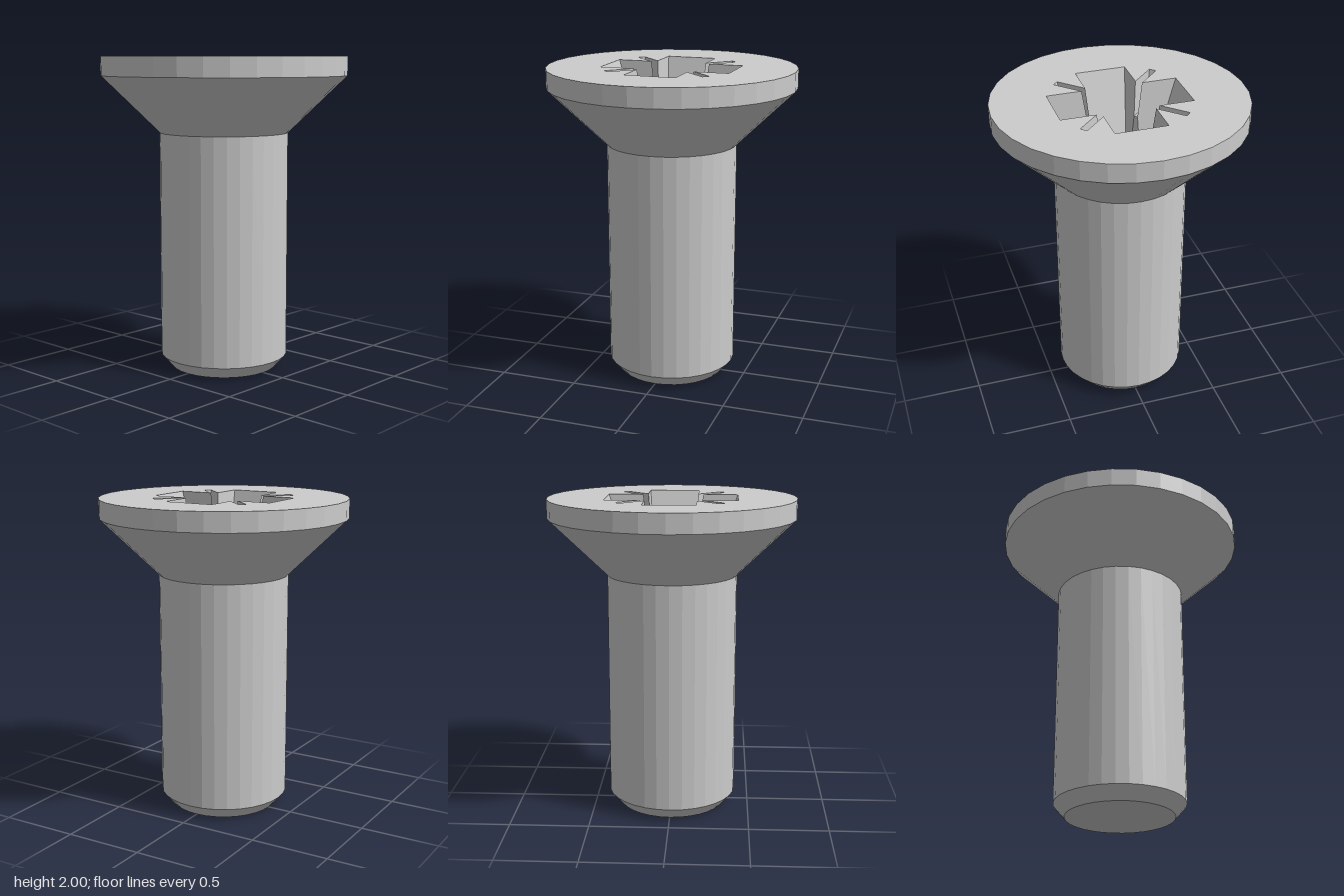
import * as THREE from 'three';

const SIDES = 32;
const TOP = 2, SLOT_Y = 1.78, FLOOR_Y = 1.5, TIP_Y = 1.4;
const BORE = 0.21;

export function createModel() {
  const group = new THREE.Group();
  const material = new THREE.MeshStandardMaterial({ color: 0xcccccc, flatShading: true });

  const add = (name, geometry, parent = group) => {
    const mesh = new THREE.Mesh(geometry, material);
    mesh.name = name;
    parent.add(mesh);
    return mesh;
  };
  const lathe = (points) =>
    new THREE.LatheGeometry(points.map(([x, y]) => new THREE.Vector2(x, y)), SIDES);
  const flat = (shape, y) =>
    new THREE.ShapeGeometry(shape).rotateX(-Math.PI / 2).translate(0, y, 0);
  const toShape = (points) => new THREE.Shape(points.map(([x, y]) => new THREE.Vector2(x, y)));
  const arc = (r, from, to, n) => Array.from({ length: n + 1 }, (_, i) => {
    const a = from + (to - from) * i / n;
    return [r * Math.cos(a), r * Math.sin(a)];
  });
  // quarter turns of a point in the plane
  const turn = ([x, z], q) => {
    for (let i = 0; i < q; i++) [x, z] = [-z, x];
    return [x, z];
  };

  // Shank with chamfered end, and countersunk head
  add('shank', lathe([[0, 0], [0.34, 0], [0.41, 0.08], [0.41, 1.52]]));
  add('countersunkHead', lathe([[0.41, 1.52], [0.78, 1.88], [0.78, TOP]]));

  // Head top with the cross and four fine diagonal slots cut out
  const quarter = [[0.41, -0.16], [0.41, 0.16], [0.192, 0.16], [0.33, 0.298], [0.298, 0.33], [0.16, 0.192]];
  const outline = [0, 1, 2, 3].flatMap((q) => quarter.map((p) => turn(p, q)));
  const face = toShape(arc(0.78, 0, Math.PI * 2, SIDES).slice(0, SIDES));
  face.holes.push(toShape(outline));
  add('headTop', flat(face, TOP));

  // Recess walls: one quarter as flat polygons, each turned to face the opening
  const opening = new THREE.Vector3(0, TOP, 0);
  const polygons = (list) => {
    const position = [];
    for (const corners of list) {
      let pts = corners.map((c) => new THREE.Vector3(...c));
      const normal = pts[1].clone().sub(pts[0]).cross(pts[2].clone().sub(pts[0]));
      if (normal.dot(opening.clone().sub(pts[0])) < 0) pts = pts.reverse();
      for (let i = 1; i < pts.length - 1; i++) {
        for (const p of [pts[0], pts[i], pts[i + 1]]) position.push(p.x, p.y, p.z);
      }
    }
    const geometry = new THREE.BufferGeometry();
    geometry.setAttribute('position', new THREE.Float32BufferAttribute(position, 3));
    geometry.computeVertexNormals();
    return geometry;
  };
  const flipZ = (poly) => poly.map(([x, y, z]) => [x, y, -z]);
  const swapXZ = (poly) => poly.map(([x, y, z]) => [z, y, x]);

  const armEnd = [[0.41, TOP, -0.16], [0.41, TOP, 0.16], [0.25, FLOOR_Y, 0.12], [0.25, FLOOR_Y, -0.12]];
  const armSide = [[0.41, TOP, 0.16], [0.25, FLOOR_Y, 0.12], [0.172, FLOOR_Y, 0.12], [0.159, SLOT_Y, 0.142], [0.192, TOP, 0.16]];
  const slotSide = [[0.192, TOP, 0.16], [0.33, TOP, 0.298], [0.281, SLOT_Y, 0.264], [0.159, SLOT_Y, 0.142]];
  const slotEnd = [[0.33, TOP, 0.298], [0.298, TOP, 0.33], [0.264, SLOT_Y, 0.281], [0.281, SLOT_Y, 0.264]];
  const slotFloor = [[0.159, SLOT_Y, 0.142], [0.281, SLOT_Y, 0.264], [0.264, SLOT_Y, 0.281], [0.142, SLOT_Y, 0.159]];
  const boreCorner = [[0.159, SLOT_Y, 0.142], [0.142, SLOT_Y, 0.159], [0.12, FLOOR_Y, 0.172], [0.172, FLOOR_Y, 0.12]];

  const armWalls = polygons([armEnd, armSide, flipZ(armSide)]);
  const slotWalls = polygons([slotSide, swapXZ(slotSide), slotEnd, slotFloor, boreCorner]);
  const edge = Math.asin(0.12 / BORE);
  const armFloor = flat(toShape([[0.25, -0.12], [0.25, 0.12], ...arc(BORE, edge, -edge, 8)]), FLOOR_Y);

  const recess = new THREE.Group();
  recess.name = 'driveRecess';
  group.add(recess);
  for (let q = 0; q < 4; q++) {
    const part = new THREE.Group();
    part.name = 'recessQuarter';
    part.rotation.y = q * Math.PI / 2;
    add('armWalls', armWalls, part);
    add('armFloor', armFloor, part);
    add('slotWalls', slotWalls, part);
    recess.add(part);
  }
  // Conical bottom of the recess
  add('recessCone', lathe([[BORE, FLOOR_Y], [0, TIP_Y]]), recess);

  return group;
}
